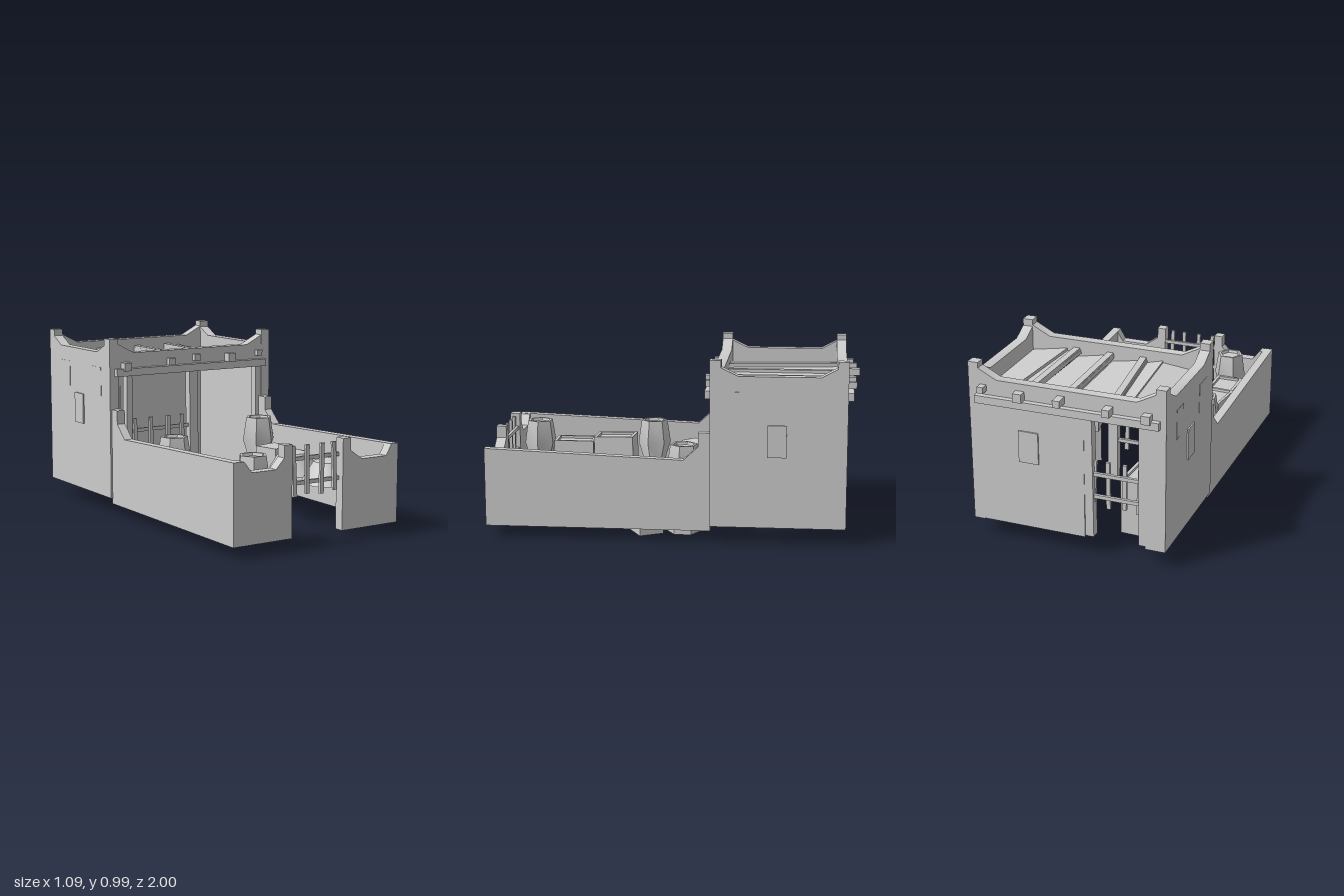
import * as THREE from 'three';
import { toCreasedNormals } from 'three/addons/utils/BufferGeometryUtils.js';

export function createModel() {
  const model = new THREE.Group();
  const clay = new THREE.MeshStandardMaterial({ color: 0xcccccc, side: THREE.DoubleSide });
  clay.name = 'plain clay';

  const add = (name, geo, parent = model) => {
    const m = new THREE.Mesh(toCreasedNormals(geo, 0.6), clay);
    m.name = name;
    parent.add(m);
    return m;
  };
  // box from its limits
  const box = (name, x0, x1, y0, y1, z0, z1) => {
    const m = add(name, new THREE.BoxGeometry(x1 - x0, y1 - y0, z1 - z0));
    m.position.set((x0 + x1) / 2, (y0 + y1) / 2, (z0 + z1) / 2);
    return m;
  };
  // removes the faces a part stands on
  const openBottom = geo => {
    const g = geo.index ? geo.toNonIndexed() : geo;
    const p = g.attributes.position;
    g.computeBoundingBox();
    const low = g.boundingBox.min.y + 1e-4, kept = [];
    for (let i = 0; i < p.count; i += 3)
      if (Math.max(p.getY(i), p.getY(i + 1), p.getY(i + 2)) > low) kept.push(i, i + 1, i + 2);
    g.clearGroups();
    g.setIndex(kept);
    return g;
  };
  const extrude = (pts, depth) => openBottom(new THREE.ExtrudeGeometry(
    new THREE.Shape(pts.map(p => new THREE.Vector2(...p))), { depth, bevelEnabled: false }));
  // wall facing z: outline in (x, y)
  const wallZ = (name, pts, z0, z1) => add(name, extrude(pts, z1 - z0).translate(0, 0, z0));
  // wall facing x: outline in (z, y)
  const wallX = (name, pts, x0, x1) => add(name, extrude(pts, x1 - x0).rotateY(-Math.PI / 2).translate(x1, 0, 0));

  // house side walls with raised corners
  const sideProfile = [[-0.93, 0.093], [-0.21, 0.093], [-0.21, 0.985], [-0.262, 0.985], [-0.262, 0.95],
    [-0.36, 0.903], [-0.79, 0.903], [-0.878, 0.95], [-0.878, 0.985], [-0.93, 0.985]];
  wallX('houseWallRight', sideProfile, -0.54, -0.485);
  wallX('houseWallLeft', sideProfile, 0.477, 0.533);

  // front and back parapets; the back one carries the wall beside the doorway
  const crown = [[0.533, 0.985], [0.477, 0.985], [0.477, 0.955], [0.375, 0.903], [-0.385, 0.903],
    [-0.485, 0.955], [-0.485, 0.985], [-0.54, 0.985]];
  wallZ('frontParapet', [[-0.54, 0.78], [0.533, 0.78], ...crown], -0.27, -0.212);
  wallZ('backWall', [[-0.54, 0.093], [-0.43, 0.093], [-0.43, 0.78], [-0.1, 0.78], [-0.1, 0.098],
    [0.533, 0.098], ...crown], -0.932, -0.876);

  // door and opening posts
  box('backDoorPost', -0.145, -0.1, 0.107, 0.8, -0.93, -0.88).rotation.z = -0.01;
  box('backDoorPost', -0.43, -0.395, 0.107, 0.8, -0.93, -0.88);
  box('frontMiddlePost', -0.015, 0.04, 0.107, 0.8, -0.26, -0.215).rotation.z = 0.01;
  box('frontSidePost', -0.43, -0.395, 0.107, 0.8, -0.26, -0.215);
  box('frontSidePost', 0.44, 0.477, 0.107, 0.8, -0.26, -0.215);

  // long beams and stub ends outside the parapets
  for (const [z0, z1] of [[-0.212, -0.18], [-0.962, -0.93]])
    box('longBeam', -0.51, 0.49, 0.776, 0.818, z0, z1).rotation.z = -0.004;
  [[-0.445, 0.046, 0.83], [-0.15, 0.04, 0.84], [0.02, 0.038, 0.853], [0.245, 0.048, 0.84], [0.45, 0.034, 0.853]]
    .forEach(([x, w, y], i) => {
      box('frontBeamEnd', x - w / 2, x + w / 2, y - w / 2, y + w / 2, -0.23, i % 3 ? -0.185 : -0.168);
      const xb = i === 1 ? -0.24 : x;
      box('backBeamEnd', xb - w / 2, xb + w / 2, y - w / 2, y + w / 2, [-0.975, -0.99, -1, -0.975, -0.975][i], -0.92);
    });

  // uneven roof boards: [back x0, back x1, front x0, front x1, left y, right y]
  const boards = [[-0.49, -0.32, -0.49, -0.275, 0.81, 0.835], [-0.325, -0.25, -0.28, -0.18, 0.845, 0.82],
    [-0.26, 0.01, -0.19, 0.01, 0.835, 0.8], [0.0, 0.23, 0.0, 0.21, 0.84, 0.8],
    [0.22, 0.33, 0.19, 0.29, 0.84, 0.82], [0.315, 0.49, 0.27, 0.49, 0.84, 0.8]];
  for (const [a, b, c, d, yl, yr] of boards) {
    const g = new THREE.BoxGeometry(1, 0.02, 0.64);
    const p = g.attributes.position;
    for (let i = 0; i < p.count; i++) {
      const right = p.getX(i) > 0, front = p.getZ(i) > 0;
      p.setXYZ(i, front ? (right ? d : c) : (right ? b : a), p.getY(i) + (right ? yr : yl), p.getZ(i) - 0.57);
    }
    add('roofBoard', g);
  }
  // thin poles lying on the roof
  for (const [xb, xf] of [[-0.24, -0.165], [0.02, 0.02], [0.23, 0.215]]) {
    const pole = box('roofPole', -0.018, 0.018, 0.825, 0.86, -0.9, -0.24);
    pole.position.x = (xb + xf) / 2;
    pole.rotation.y = Math.atan2(xf - xb, 0.66);
  }

  // window plates and plaster patches
  for (const s of [-1, 1]) {
    const at = (name, t, y0, y1, z0, z1) => s > 0
      ? box(name, 0.533, 0.533 + t, y0, y1, z0, z1) : box(name, -0.54 - t, -0.54, y0, y1, z0, z1);
    at('sideWindow', 0.008, 0.475, 0.647, -0.615, -0.515);
    at('plasterPatch', 0.002, 0.66, 0.82, -0.43, -0.31);
    at('plasterPatch', 0.002, 0.66, 0.82, -0.78, -0.68);
  }
  box('backWindow', 0.15, 0.26, 0.47, 0.645, -0.94, -0.932);

  // yard side walls with a raised end at the house
  const yard = [[-0.215, 0.062], [1, 0.062], [1, 0.487], [-0.07, 0.445], [-0.15, 0.52], [-0.15, 0.595], [-0.215, 0.595]];
  wallX('yardWallRight', yard, -0.53, -0.482);
  wallX('yardWallLeft', yard, 0.463, 0.51);

  // yard front walls with a gate post at the inner end
  wallZ('yardFrontRight', [[-0.53, 0.062], [-0.175, 0.062], [-0.175, 0.545], [-0.225, 0.545], [-0.225, 0.48],
    [-0.275, 0.427], [-0.42, 0.427], [-0.465, 0.485], [-0.53, 0.485]], 0.945, 1);
  wallZ('yardFrontLeft', [[0.145, 0.062], [0.51, 0.062], [0.51, 0.485], [0.465, 0.485], [0.43, 0.427],
    [0.27, 0.427], [0.195, 0.48], [0.195, 0.545], [0.145, 0.545]], 0.945, 1);

  // picket gates
  const gate = (name, x0, x1, z) => {
    for (const y of [0.335, 0.46]) box(name + 'Rail', x0, x1, y - 0.01, y + 0.01, z - 0.008, z + 0.008);
    [[0.1, 0.05], [0.35, 0.01], [0.63, -0.01], [0.87, 0.045]].forEach(([t, lean], i) => {
      const x = x0 + t * (x1 - x0);
      box(name + 'Stake', x - 0.011, x + 0.011, 0.268 + 0.01 * (i % 2), 0.53, z + 0.006, z + 0.022).rotation.z = lean;
    });
  };
  gate('yardGate', -0.18, 0.15, 0.96);
  gate('houseGate', -0.41, -0.01, -0.24);
  gate('backGate', -0.42, -0.1, -0.91);

  // straw domes, open below
  const dome = [[0.15, 0.26], [0.115, 0.32], [0.08, 0.375], [0.004, 0.395]].map(p => new THREE.Vector2(...p));
  for (const [x, z] of [[-0.295, -0.065], [0.255, 0.42], [0.255, 0.735]])
    add('strawDome', new THREE.LatheGeometry(dome, 12)).position.set(x, 0, z);

  // six-sided jars
  const jar = [[0, 0], [0.06, 0], [0.08, 0.07], [0.058, 0.17], [0.095, 0.29], [0.075, 0.42], [0.06, 0.42], [0.055, 0.405], [0, 0.4]]
    .map(p => new THREE.Vector2(...p));
  for (const [x, y, z, turn] of [[-0.365, 0.066, 0.18, 0.2], [-0.31, 0.064, 0.85, 0.5], [0.355, 0.08, -0.06, 0.3]]) {
    const m = add('jar', new THREE.LatheGeometry(jar, 6));
    m.position.set(x, y, z);
    m.rotation.y = turn;
  }
  // low foot under the jar by the house
  add('jarFoot', new THREE.CylinderGeometry(0.09, 0.09, 0.075, 6)).position.set(0.355, 0.053, -0.06);

  // crates with a sunken lid
  const crate = (x, y, z, w, h, d, turn, tilt = 0) => {
    const g = new THREE.Group();
    g.name = 'crate';
    const t = 0.016;
    add('crateBody', openBottom(new THREE.BoxGeometry(w, h - 0.015, d).translate(0, (h - 0.015) / 2, 0)), g);
    for (const s of [-1, 1]) {
      add('crateRim', new THREE.BoxGeometry(t, 0.015, d).translate(s * (w - t) / 2, h - 0.0075, 0), g);
      add('crateRim', new THREE.BoxGeometry(w - 2 * t, 0.015, t).translate(0, h - 0.0075, s * (d - t) / 2), g);
    }
    g.position.set(x, y, z);
    g.rotation.set(tilt, turn, 0);
    model.add(g);
  };
  crate(-0.352, 0.12, 0.4, 0.155, 0.275, 0.23, -0.08, 0.03);
  crate(-0.34, 0.1, 0.645, 0.155, 0.27, 0.23, 0);
  crate(-0.34, 0.1, -0.44, 0.16, 0.27, 0.23, 0.06);
  crate(-0.34, 0.1, -0.71, 0.16, 0.31, 0.23, -0.04);

  // stacked blocks by the left yard wall
  box('lowerBlock', 0.262, 0.402, 0, 0.2, 0.075, 0.215).rotation.y = 0.5;
  box('upperBlock', 0.255, 0.405, 0.2, 0.36, 0.065, 0.215).rotation.y = 0.2;

  return model;
}
